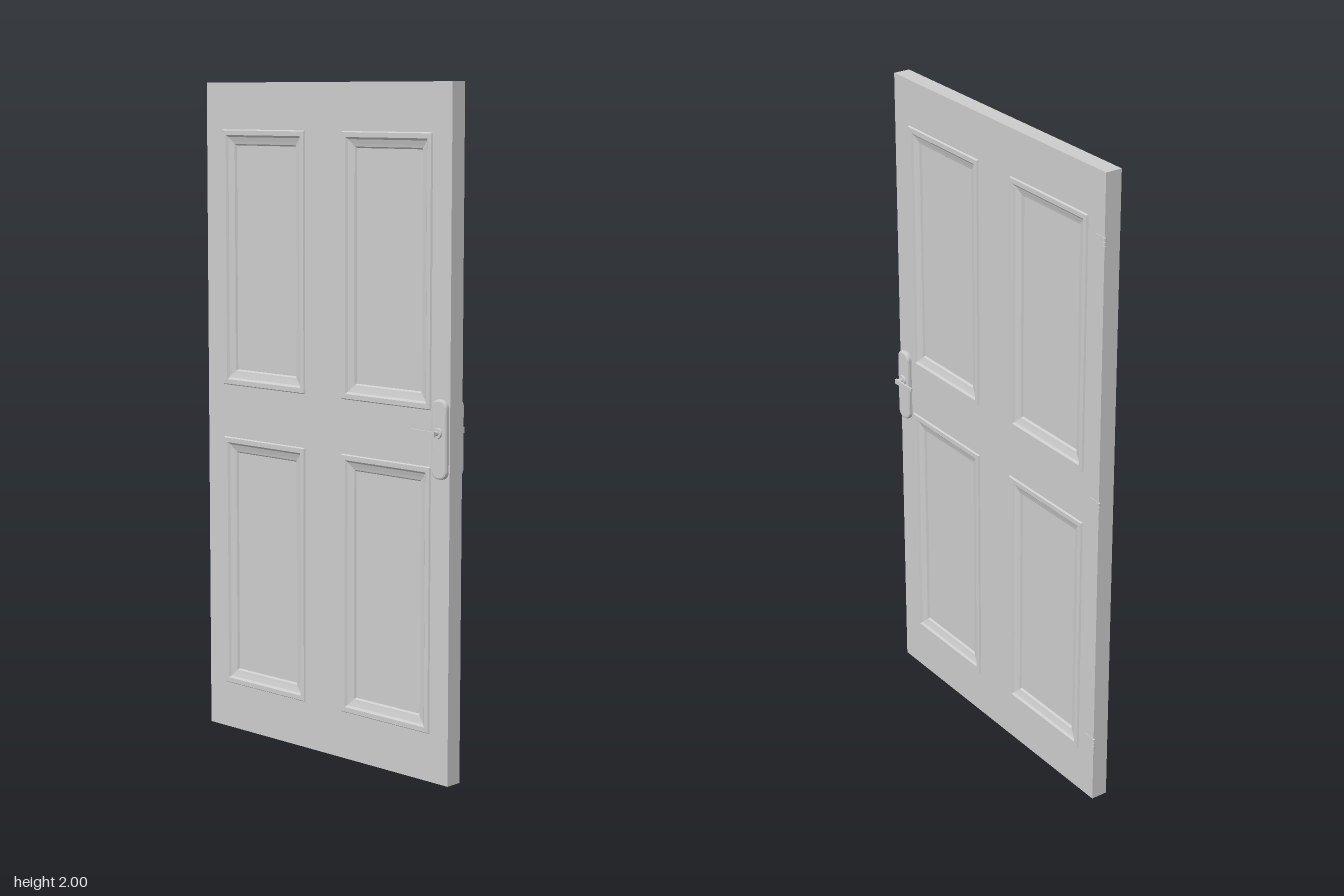
import * as THREE from 'three';

const T = 0.026; // half thickness of the door leaf
const mat = new THREE.MeshStandardMaterial({ color: 0xcccccc, flatShading: true });
const smooth = new THREE.MeshStandardMaterial({ color: 0xcccccc });

function add(parent, name, geo, material = mat, x = 0, y = 0, z = 0) {
  const m = new THREE.Mesh(geo, material);
  m.name = name;
  m.position.set(x, y, z);
  parent.add(m);
  return m;
}

// Panel openings: centre and size
const PW = 0.352, PH = 0.778;
const panels = [];
for (const x of [-0.252, 0.252]) for (const y of [0.531, 1.471]) panels.push([x, y]);

function rect(path, cx, cy, w, h) {
  path.moveTo(cx - w / 2, cy - h / 2);
  path.lineTo(cx + w / 2, cy - h / 2);
  path.lineTo(cx + w / 2, cy + h / 2);
  path.lineTo(cx - w / 2, cy + h / 2);
  path.closePath();
  return path;
}

// Moulding: [inset, z] steps swept round a rectangle, closed by a flat field
function panelGeometry() {
  const profile = [[0, T], [0.003, 0.031], [0.017, 0.031], [0.023, 0.025],
    [0.036, 0.021], [0.044, 0.019], [0.048, 0.013]];
  const rings = profile.map(([i, z]) => {
    const a = PW / 2 - i, b = PH / 2 - i;
    return [[-a, -b, z], [a, -b, z], [a, b, z], [-a, b, z]];
  });
  const pos = [];
  const quad = (a, b, c, d) => pos.push(...a, ...b, ...c, ...a, ...c, ...d);
  for (let r = 0; r < rings.length - 1; r++) {
    for (let k = 0; k < 4; k++) {
      const n = (k + 1) % 4;
      quad(rings[r][k], rings[r][n], rings[r + 1][n], rings[r + 1][k]);
    }
  }
  quad(...rings[rings.length - 1]);
  const g = new THREE.BufferGeometry();
  g.setAttribute('position', new THREE.Float32BufferAttribute(pos, 3));
  g.computeVertexNormals();
  return g;
}

// Upright plate with rounded corners
function plateGeometry(w, h, r, depth, bevel) {
  const s = new THREE.Shape();
  const a = w / 2 - bevel, b = h / 2 - bevel;
  s.moveTo(a, -b + r);
  s.lineTo(a, b - r);
  s.absarc(a - r, b - r, r, 0, Math.PI / 2);
  s.absarc(-a + r, b - r, r, Math.PI / 2, Math.PI);
  s.lineTo(-a, -b + r);
  s.absarc(-a + r, -b + r, r, Math.PI, Math.PI * 1.5);
  s.absarc(a - r, -b + r, r, Math.PI * 1.5, Math.PI * 2);
  return new THREE.ExtrudeGeometry(s, {
    depth: depth - bevel, bevelThickness: bevel, bevelSize: bevel,
    bevelSegments: 2, curveSegments: 6,
  });
}

export function createModel() {
  const door = new THREE.Group();
  door.name = 'door';

  // Door leaf with four openings
  const leaf = rect(new THREE.Shape(), 0, 1, 0.998, 2);
  for (const [x, y] of panels) leaf.holes.push(rect(new THREE.Path(), x, y, PW, PH));
  add(door, 'doorLeaf', new THREE.ExtrudeGeometry(leaf, { depth: 2 * T, bevelEnabled: false }), mat, 0, 0, -T);

  const panelGeo = panelGeometry();
  for (const s of [1, -1]) {
    const side = s > 0 ? 'front' : 'back';
    const turn = s > 0 ? 0 : Math.PI;

    // Moulded panels
    for (const [x, y] of panels) add(door, side + 'Panel', panelGeo, mat, x, y, 0).rotation.y = turn;

    // Lever handle on its plate
    const handle = new THREE.Group();
    handle.name = side + 'Handle';
    door.add(handle);
    add(handle, 'handlePlate', plateGeometry(0.056, 0.228, 0.018, 0.014, 0.006), mat, 0.467, 1.003, s * T).rotation.y = turn;
    const rose = new THREE.CylinderGeometry(0.014, 0.016, 0.006, 20).rotateX(s * Math.PI / 2);
    add(handle, 'handleRose', rose, smooth, 0.466, 1.022, s * 0.042);
    const neck = new THREE.CylinderGeometry(0.007, 0.007, 0.024, 16).rotateX(Math.PI / 2);
    add(handle, 'handleNeck', neck, smooth, 0.466, 1.022, s * 0.052);
    const lever = new THREE.BoxGeometry(0.088, 0.016, 0.006, 8, 1, 1);
    const p = lever.attributes.position;
    for (let i = 0; i < p.count; i++) { // slimmer towards the free end
      const t = (0.044 - p.getX(i)) / 0.088;
      p.setY(i, p.getY(i) * (1 - 0.4 * t) + 0.004 * t * t);
    }
    add(handle, 'handleLever', lever, mat, 0.429, 1.021, s * 0.062);
  }

  // Hinges on the back edge
  for (const y of [0.2, 1, 1.8]) {
    const hinge = new THREE.Group();
    hinge.name = 'hinge';
    hinge.position.set(-0.499, y, -T);
    door.add(hinge);
    add(hinge, 'hingeLeaf', new THREE.BoxGeometry(0.04, 0.036, 0.002), mat, 0.02, 0, -0.001);
    for (const dy of [-0.012, 0, 0.012]) {
      add(hinge, 'hingeKnuckle', new THREE.CylinderGeometry(0.0045, 0.0045, 0.0105, 10), smooth, -0.002, dy, -0.002);
    }
  }
  return door;
}
